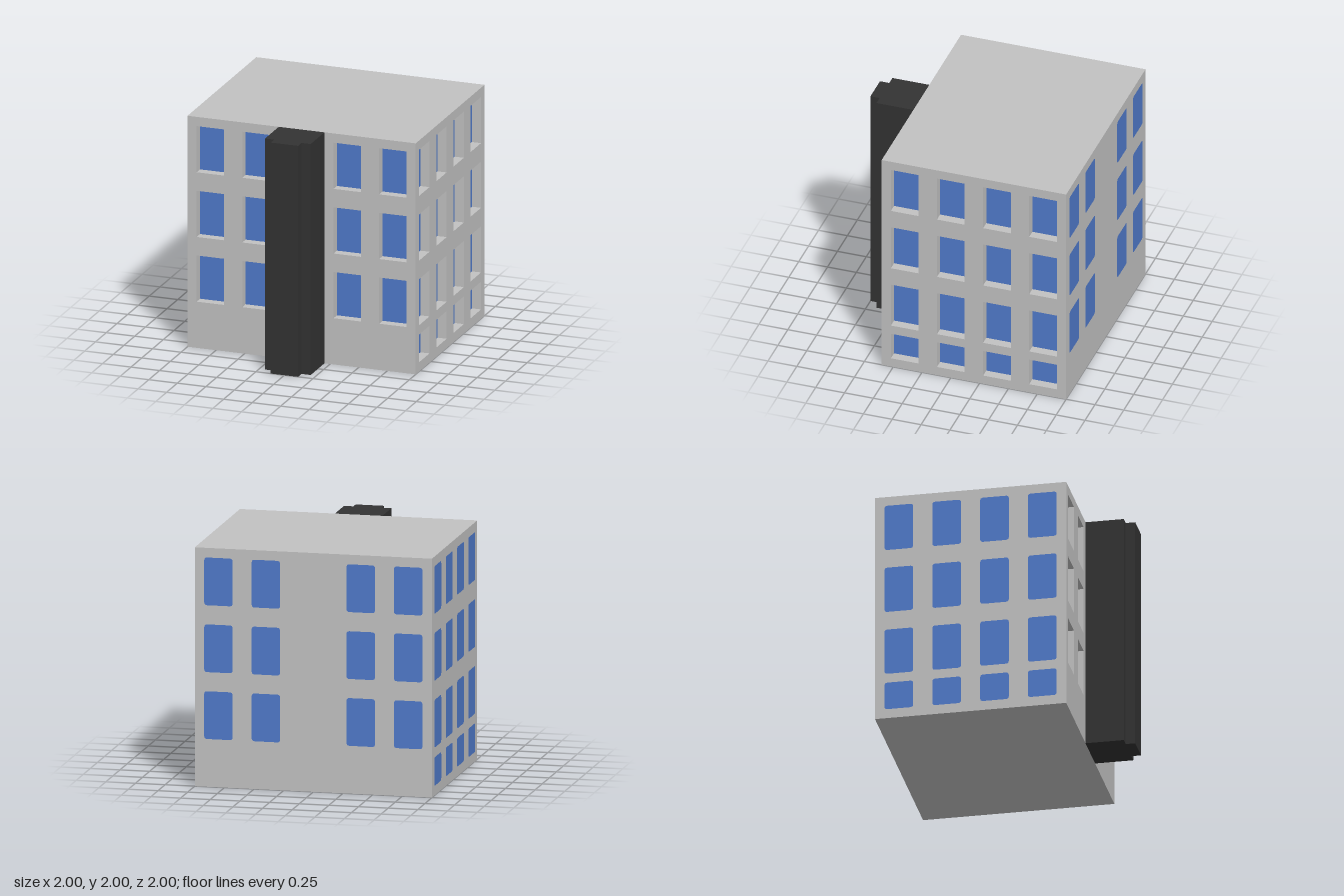
import * as THREE from 'three';

const mat = (name, color) => Object.assign(new THREE.MeshStandardMaterial({ color }), { name });

export function createModel() {
  const wallMat = mat('light grey wall', 0xc2c2c2);
  const glassMat = mat('blue glass', 0x507acb);
  const towerMat = mat('charcoal', 0x333333);

  const W = 2, H = 2, D = 1.6, CZ = -0.2; // building block
  const WIN = 0.24, RECESS = 0.08;

  const model = new THREE.Group();
  model.name = 'building';

  const add = (parent, name, geometry, material, x = 0, y = 0, z = 0, rx = 0, ry = 0) => {
    const mesh = new THREE.Mesh(geometry, material);
    mesh.name = name;
    mesh.position.set(x, y, z);
    mesh.rotation.set(rx, ry, 0);
    parent.add(mesh);
    return mesh;
  };

  const rect = (T, x0, y0, x1, y1) => {
    const p = new T();
    p.moveTo(x0, y0).lineTo(x1, y0).lineTo(x1, y1).lineTo(x0, y1).closePath();
    return p;
  };

  // Flat pane with softened corners
  const roundedPane = (w, h, r = 0.025) => {
    const s = new THREE.Shape(), x = w / 2, y = h / 2;
    s.moveTo(-x + r, -y).lineTo(x - r, -y).quadraticCurveTo(x, -y, x, -y + r);
    s.lineTo(x, y - r).quadraticCurveTo(x, y, x - r, y);
    s.lineTo(-x + r, y).quadraticCurveTo(-x, y, -x, y - r);
    s.lineTo(-x, -y + r).quadraticCurveTo(-x, -y, -x + r, -y);
    return new THREE.ShapeGeometry(s, 4);
  };

  // One wall facing local +z, with either recessed or flush windows
  function facade(name, width, columns, rows, recessed) {
    const g = new THREE.Group();
    g.name = name;
    const wall = rect(THREE.Shape, -width / 2, 0, width / 2, H);
    for (const cx of columns) for (const [y0, y1] of rows) {
      const h = y1 - y0, cy = (y0 + y1) / 2, x = WIN / 2;
      if (!recessed) {
        add(g, 'flushWindow', roundedPane(WIN, h), glassMat, cx, cy, 0.002);
        continue;
      }
      wall.holes.push(rect(THREE.Path, cx - x, y0, cx + x, y1));
      add(g, 'windowPane', new THREE.PlaneGeometry(WIN, h), glassMat, cx, cy, -RECESS);
      // Sides, sill and lintel of the opening
      for (const s of [-1, 1]) {
        add(g, 'windowJamb', new THREE.PlaneGeometry(RECESS, h), wallMat,
          cx + s * x, cy, -RECESS / 2, 0, -s * Math.PI / 2);
        add(g, s < 0 ? 'windowSill' : 'windowLintel', new THREE.PlaneGeometry(WIN, RECESS), wallMat,
          cx, cy + s * h / 2, -RECESS / 2, s * Math.PI / 2);
      }
    }
    add(g, name + 'Surface', new THREE.ShapeGeometry(wall), wallMat);
    model.add(g);
    return g;
  }

  const upperRows = [[0.4, 0.8], [0.96, 1.36], [1.52, 1.92]];
  const sideRows = [[0.08, 0.32], ...upperRows];
  const frontColumns = [-0.8, -0.4, 0.4, 0.8];
  const sideColumns = [-0.6, -0.2, 0.2, 0.6];

  // Four walls
  facade('frontWall', W, frontColumns, upperRows, true).position.z = CZ + D / 2;
  const back = facade('backWall', W, frontColumns, upperRows, false);
  back.position.z = CZ - D / 2;
  back.rotation.y = Math.PI;
  for (const s of [-1, 1]) {
    const side = facade(s > 0 ? 'leftWall' : 'rightWall', D, sideColumns, sideRows, s > 0);
    side.position.set(s * W / 2, 0, CZ);
    side.rotation.y = s * Math.PI / 2;
  }

  // Roof and underside
  add(model, 'roof', new THREE.PlaneGeometry(W, D), wallMat, 0, H, CZ, -Math.PI / 2);
  add(model, 'floor', new THREE.PlaneGeometry(W, D), wallMat, 0, 0, CZ, Math.PI / 2);

  // Stepped dark tower on the front
  const plan = new THREE.Shape();
  plan.moveTo(-0.2, -0.6).lineTo(-0.2, -0.92).lineTo(-0.12, -0.92).lineTo(-0.12, -1);
  plan.lineTo(0.12, -1).lineTo(0.12, -0.92).lineTo(0.2, -0.92).lineTo(0.2, -0.6).closePath();
  const tower = new THREE.ExtrudeGeometry(plan, { depth: H, bevelEnabled: false });
  add(model, 'frontTower', tower, towerMat, 0, 0, 0, -Math.PI / 2);

  return model;
}
